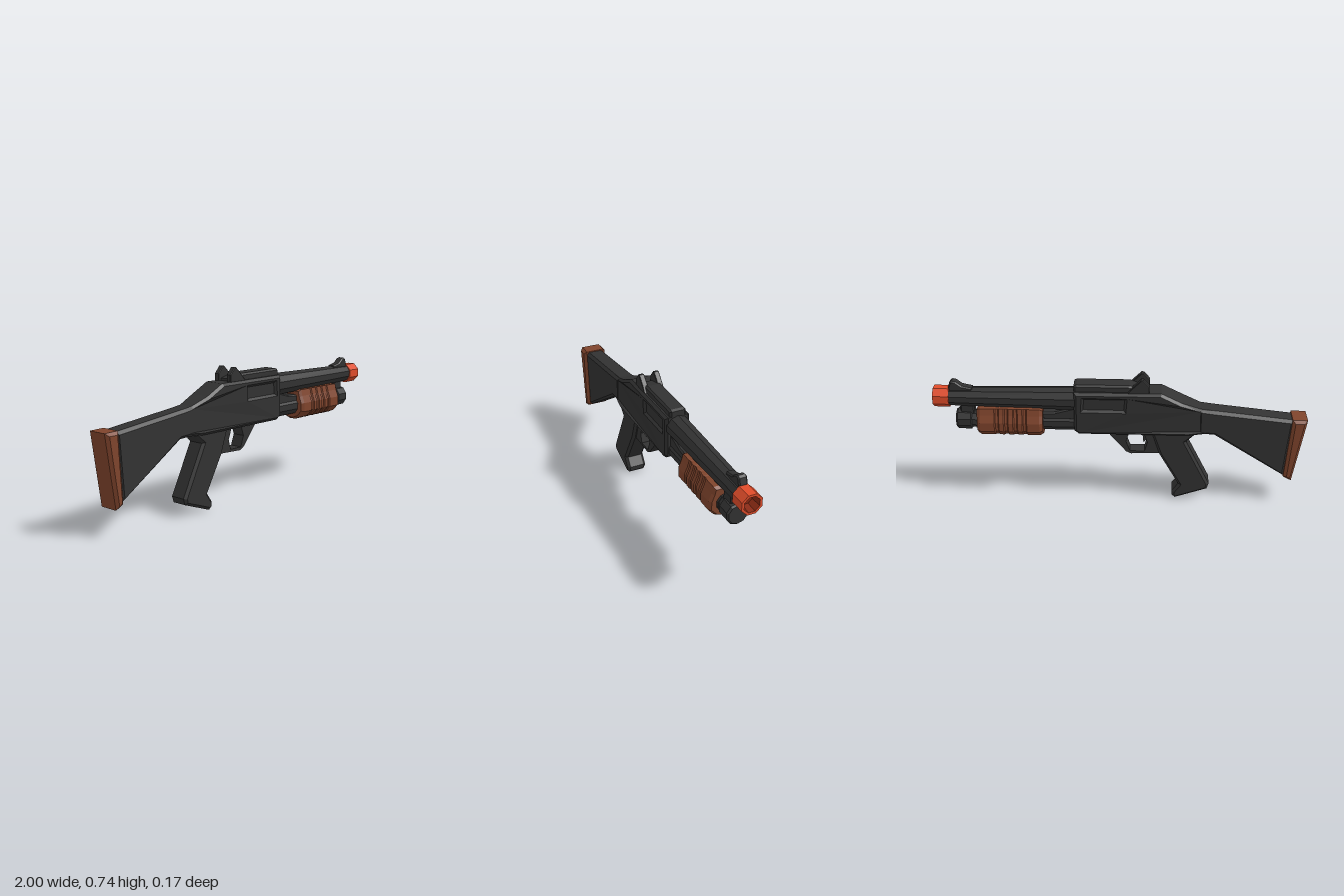
import * as THREE from 'three';

const black = new THREE.MeshStandardMaterial({ color: 0x323232 });
black.name = 'blackPolymer';
const brown = new THREE.MeshStandardMaterial({ color: 0x7f442c });
brown.name = 'brownFurniture';
const orange = new THREE.MeshStandardMaterial({ color: 0xe04c2a });
orange.name = 'orangeTip';
const bore = new THREE.MeshStandardMaterial({ color: 0x8a2a14 });
bore.name = 'boreRed';

// Faceted mesh: unshared vertices give flat normals
function part(name, geometry, material) {
  const g = geometry.index ? geometry.toNonIndexed() : geometry;
  g.computeVertexNormals();
  const mesh = new THREE.Mesh(g, material);
  mesh.name = name;
  return mesh;
}

// Side profile (x, y) extruded between z0 and z1, chamfered inside its outline
function slab(points, z0, z1, bevel = 0, hole = null) {
  const shape = new THREE.Shape(points.map(p => new THREE.Vector2(...p)));
  if (hole) shape.holes.push(new THREE.Path(hole.map(p => new THREE.Vector2(...p))));
  const g = new THREE.ExtrudeGeometry(shape, {
    depth: z1 - z0 - 2 * bevel, bevelEnabled: bevel > 0, bevelSize: bevel,
    bevelThickness: bevel, bevelOffset: -bevel, bevelSegments: 1, curveSegments: 1
  });
  return g.translate(0, 0, z0 + bevel);
}

// Turned part along x from [radius, x] points, centred at height y
function turned(profile, y, sides) {
  const g = new THREE.LatheGeometry(profile.map(p => new THREE.Vector2(...p)), sides, Math.PI / sides);
  return g.rotateZ(-Math.PI / 2).translate(0, y, 0);
}

// Closed loft along x: section of [z, y], rings of [x, zScale, yScale]
function loft(section, rings, cy) {
  const n = section.length, pos = [], idx = [];
  for (const [x, sz, sy] of rings)
    for (const [z, y] of section) pos.push(x, cy + (y - cy) * sy, z * sz);
  for (let i = 0; i < rings.length - 1; i++)
    for (let j = 0; j < n; j++) {
      const a = i * n + j, b = i * n + (j + 1) % n;
      idx.push(a, b, a + n, b, b + n, a + n);
    }
  const first = pos.length / 3, last = (rings.length - 1) * n;
  pos.push(rings[0][0], cy, 0, rings[rings.length - 1][0], cy, 0);
  for (let j = 0; j < n; j++) {
    const k = (j + 1) % n;
    idx.push(first, k, j, first + 1, last + j, last + k);
  }
  const g = new THREE.BufferGeometry();
  g.setAttribute('position', new THREE.Float32BufferAttribute(pos, 3));
  g.setIndex(idx);
  return g;
}

export function createModel() {
  const model = new THREE.Group();
  model.name = 'toyPumpBlaster';
  const add = (...args) => model.add(part(...args));

  // Receiver with a recessed port on both sides, narrowing to the neck
  const port = [[-0.02, 0.565], [0.195, 0.565], [0.19, 0.625], [-0.025, 0.625]];
  const body = slab([[-0.5, 0.425], [-0.37, 0.415], [0.22, 0.415], [0.245, 0.435], [0.245, 0.665],
    [-0.22, 0.667], [-0.33, 0.612], [-0.43, 0.572], [-0.5, 0.562]], -0.07, 0.07, 0.014, port);
  const p = body.attributes.position;
  for (let i = 0; i < p.count; i++)
    if (p.getX(i) < -0.4) p.setZ(i, p.getZ(i) * 0.72);
  add('receiver', body, black);
  add('portFloor', new THREE.BoxGeometry(0.26, 0.1, 0.114).translate(0.085, 0.595, 0), black);

  // Stock and butt pad
  add('stock', slab([[-0.93, 0.515], [-0.9, 0.165], [-0.51, 0.415], [-0.42, 0.42], [-0.42, 0.573],
    [-0.5, 0.563]], -0.055, 0.055, 0.016), black);
  add('buttPad', slab([[-1, 0.52], [-0.945, 0.14], [-0.9, 0.163], [-0.92, 0.522]],
    -0.069, 0.069, 0.016), brown);

  // Pistol grip with flared toe
  add('grip', slab([[-0.42, 0.43], [-0.36, 0.37], [-0.495, 0.1], [-0.485, 0.066], [-0.31, 0.003],
    [-0.292, 0.018], [-0.29, 0.045], [-0.325, 0.095], [-0.215, 0.29], [-0.17, 0.43]],
    -0.056, 0.056, 0.014), black);

  // Trigger guard and trigger
  add('triggerGuard', slab([[-0.24, 0.43], [-0.225, 0.29], [-0.06, 0.283], [-0.035, 0.295],
    [0.07, 0.42], [0.07, 0.43]], -0.036, 0.036, 0,
    [[-0.15, 0.355], [-0.13, 0.41], [-0.05, 0.41], [-0.033, 0.36], [-0.055, 0.3], [-0.135, 0.3]]), black);
  add('trigger', slab([[-0.14, 0.42], [-0.105, 0.42], [-0.125, 0.38], [-0.128, 0.34], [-0.145, 0.36]],
    -0.012, 0.012), black);

  // Barrel and muzzle tip
  add('barrel', turned([[0, 0.2], [0.066, 0.2], [0.051, 0.925], [0, 0.925]], 0.603, 10), black);
  add('muzzleTip', turned([[0, 0.915], [0.059, 0.915], [0.058, 1], [0.044, 1]], 0.602, 8), orange);
  add('muzzleBore', turned([[0.044, 1], [0.038, 0.94], [0, 0.94]], 0.602, 8), bore);

  // Magazine tube, end cap and the clamp joining it to the barrel
  add('magazineTube', turned([[0, 0.2], [0.054, 0.2], [0.054, 0.78], [0, 0.78]], 0.468, 10), black);
  add('magazineCap', turned([[0, 0.76], [0.05, 0.76], [0.05, 0.8], [0.06, 0.805], [0.06, 0.875],
    [0.052, 0.885], [0, 0.885]], 0.47, 10), black);
  add('barrelClamp', slab([[0.785, 0.5], [0.86, 0.5], [0.86, 0.575], [0.785, 0.575]],
    -0.028, 0.028, 0.006), black);
  add('actionBars', slab([[0.22, 0.49], [0.44, 0.49], [0.44, 0.53], [0.35, 0.535], [0.22, 0.57]],
    -0.042, 0.042, 0.008), black);

  // Pump handle with grip grooves
  const half = [[0.062, 0.56], [0.071, 0.525], [0.087, 0.485], [0.087, 0.435], [0.055, 0.4], [0.02, 0.386]];
  const section = [...half, ...half.map(([z, y]) => [-z, y]).reverse()];
  const rings = [[0.413, 0.88, 0.88], [0.43, 1, 1]];
  for (const x of [0.51, 0.56, 0.61, 0.66])
    rings.push([x - 0.013, 1, 1], [x - 0.007, 0.92, 0.98], [x + 0.007, 0.92, 0.98], [x + 0.013, 1, 1]);
  rings.push([0.75, 1, 1], [0.767, 0.88, 0.88]);
  add('pumpHandle', loft(section, rings, 0.475), brown);

  // Top rail, rear sight ears and front sight
  add('topRail', slab([[-0.14, 0.65], [0.245, 0.65], [0.245, 0.695], [0.23, 0.702], [-0.05, 0.702],
    [-0.14, 0.68]], -0.046, 0.046, 0.01), black);
  for (const s of [1, -1]) {
    const z = s * 0.043;
    add(s > 0 ? 'rearSightLeft' : 'rearSightRight', slab([[-0.157, 0.664], [-0.04, 0.664],
      [-0.07, 0.7], [-0.112, 0.742], [-0.125, 0.742], [-0.157, 0.705]], z - 0.015, z + 0.015, 0.003), black);
  }
  add('frontSight', slab([[0.79, 0.64], [0.915, 0.64], [0.918, 0.66], [0.908, 0.692], [0.895, 0.7],
    [0.875, 0.696], [0.845, 0.672], [0.79, 0.66]], -0.024, 0.024, 0.007), black);

  return model;
}
